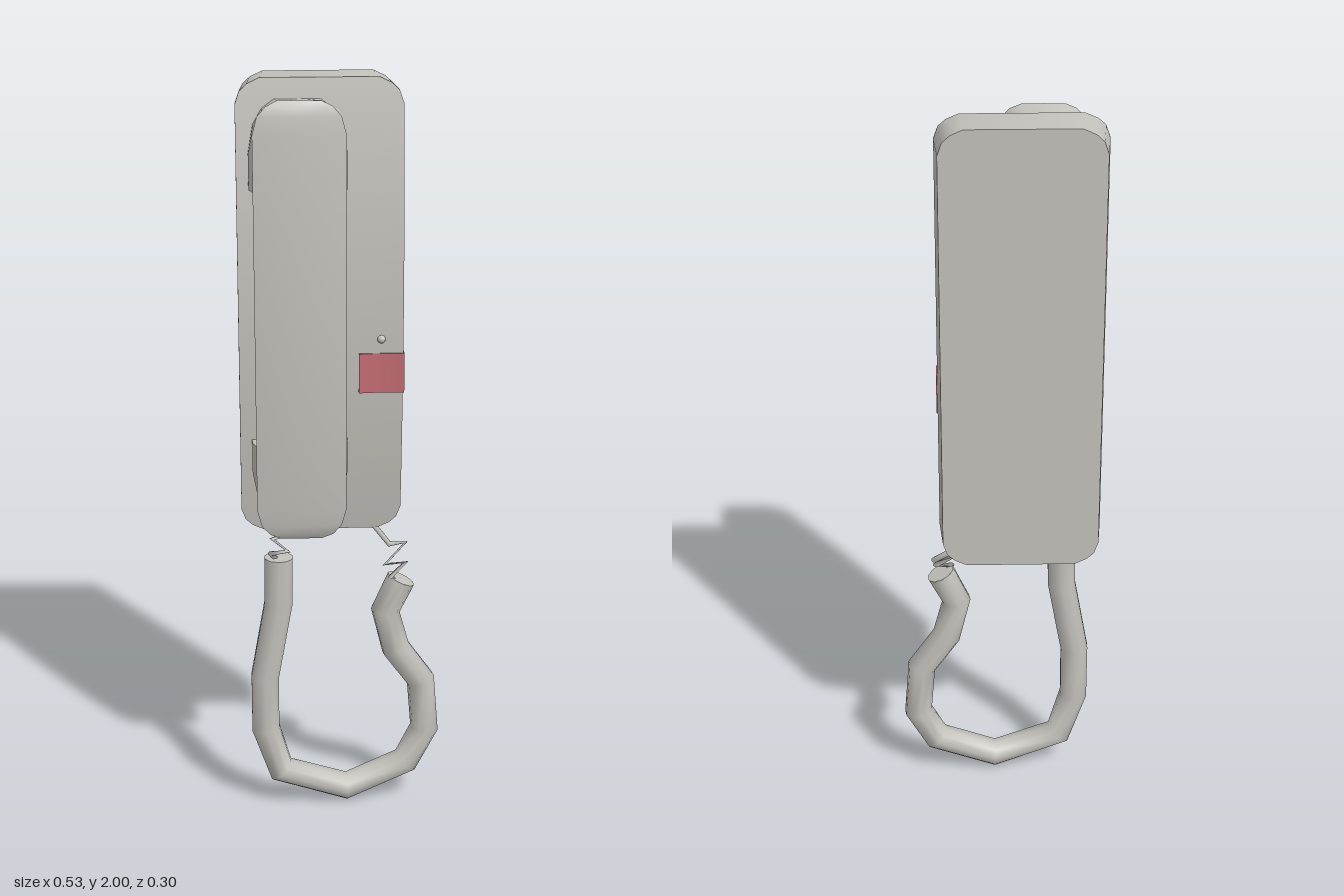
import * as THREE from 'three';
import { toCreasedNormals } from 'three/addons/utils/BufferGeometryUtils.js';

const MID = 1.395; // height of the middle of base and handset
const v3 = (p) => new THREE.Vector3(...p);

// Closed solid through rings of [x, y, z], stacked upwards, each counterclockwise from above
function loft(rings, crease = 0.6) {
  const n = rings[0].length;
  const index = [];
  for (let i = 0; i < rings.length - 1; i++) {
    for (let j = 0; j < n; j++) {
      const a = i * n + j, b = i * n + ((j + 1) % n);
      index.push(a, b, b + n, a, b + n, a + n);
    }
  }
  const top = (rings.length - 1) * n;
  for (let j = 1; j < n - 1; j++) {
    index.push(top, top + j, top + j + 1, 0, j + 1, j);
  }
  const geo = new THREE.BufferGeometry();
  geo.setAttribute('position', new THREE.Float32BufferAttribute(rings.flat(2), 3));
  geo.setIndex(index);
  return toCreasedNormals(geo, crease);
}

// Tube with one mitred ring at each path point
class Polyline extends THREE.Curve {
  constructor(points) {
    super();
    this.points = points.map(v3);
  }
  getPoint(t, target = new THREE.Vector3()) {
    const n = this.points.length - 1;
    const s = Math.min(Math.max(t, 0), 1) * n;
    const i = Math.min(Math.floor(s), n - 1);
    return target.lerpVectors(this.points[i], this.points[i + 1], s - i);
  }
  getPointAt(u, target) {
    return this.getPoint(u, target);
  }
  getTangentAt(u, target = new THREE.Vector3()) {
    const n = this.points.length - 1;
    const i = Math.round(u * n);
    const dir = (k) => this.points[k + 1].clone().sub(this.points[k]).normalize();
    return target.copy(dir(Math.max(i - 1, 0))).add(dir(Math.min(i, n - 1))).normalize();
  }
}

export function createModel() {
  const model = new THREE.Group();
  model.name = 'wallHandset';
  const grey = new THREE.MeshStandardMaterial({ color: 0xc4c2bc });
  grey.name = 'warmGrey';
  const red = new THREE.MeshStandardMaterial({ color: 0xc46c73 });
  red.name = 'dustyRed';

  const add = (name, geo, mat = grey) => {
    const mesh = new THREE.Mesh(geo, mat);
    mesh.name = name;
    model.add(mesh);
    return mesh;
  };

  // Wall base: bowed front, tapered sides, rounded corners
  const baseFront = (y) => 0.012 - 0.055 * ((y - MID) / 0.605) ** 2;
  const baseEnd = [[0.605, 0.062], [0.59, 0.03], [0.572, 0.011], [0.54, 0]]; // distance, inset
  const baseSteps = [
    ...baseEnd.map(([d, inset]) => [-d, inset]),
    ...[-0.42, -0.28, -0.14, 0, 0.14, 0.28, 0.42].map((d) => [d, 0]),
    ...baseEnd.map(([d, inset]) => [d, inset]).reverse(),
  ];
  add('base', loft(baseSteps.map(([d, s]) => {
    const y = MID + d, z = baseFront(y);
    return [
      [-0.27 + s, y, z], [0.155 - s, y, z], [0.155 - s, y, -0.046],
      [0.146 - s, y, -0.15], [-0.26 + s, y, -0.15], [-0.27 + s, y, -0.046],
    ];
  })));

  // Handset grip: ridged, bowed front; rows are distance, inset, ridge z, edge z
  const cx = -0.114;
  const gripEnd = [
    [0.573, 0.062, 0.106, 0.104], [0.56, 0.034, 0.116, 0.109],
    [0.535, 0.012, 0.122, 0.112], [0.49, 0, 0.127, 0.115],
    [0.3, 0, 0.14, 0.124], [0.15, 0, 0.146, 0.129],
  ];
  const gripSteps = [
    ...gripEnd.map(([d, ...r]) => [-d, ...r]),
    [0, 0, 0.148, 0.13],
    ...[...gripEnd].reverse(),
  ];
  add('handsetGrip', loft(gripSteps.map(([d, s, ridge, edge]) => {
    const y = MID + d, w = 0.116 - s, b = 0.108 - s;
    const yb = MID + d * 0.983;
    const back = 0.038 + 0.02 * d * d;
    return [
      [cx - w, y, edge], [cx, y, ridge], [cx + w, y, edge],
      [cx + b, yb, back], [cx - b, yb, back],
    ];
  })));

  // Earpiece and mouthpiece: blocks flaring towards the base
  const cupSteps = [[0.335, 0], [0.42, 0], [0.49, 0.012], [0.53, 0.035], [0.552, 0.065]];
  for (const [name, sign] of [['earpiece', 1], ['mouthpiece', -1]]) {
    const rings = cupSteps.map(([d, s]) => {
      const yb = MID + sign * d, yf = MID + sign * (d + (d > 0.4 ? 0.012 : 0));
      const w = 0.106 - s, b = 0.125 - s;
      const z = baseFront(yb) - 0.008;
      return [
        [cx - w, yf, 0.08], [cx + w, yf, 0.08],
        [cx + b, yb, z + 0.035], [cx + b, yb, z],
        [cx - b, yb, z], [cx - b, yb, z + 0.035],
      ];
    });
    add(name, loft(sign > 0 ? rings : rings.reverse()));
  }

  // Dished call button wrapping the base edge
  const profile = new THREE.Shape();
  profile.moveTo(0.04, 0.045);
  profile.lineTo(0.158, 0.045);
  profile.lineTo(0.158, -0.015);
  profile.quadraticCurveTo(0.1, -0.008, 0.04, -0.017);
  const buttonGeo = new THREE.ExtrudeGeometry(profile, {
    depth: 0.106, bevelEnabled: false, curveSegments: 6,
  });
  buttonGeo.rotateX(-Math.PI / 2); // shape y becomes -z, depth becomes height
  buttonGeo.translate(0, 1.189, 0);
  add('callButton', buttonGeo, red);

  // Indicator stud
  add('indicator', new THREE.SphereGeometry(0.011, 10, 8)).position.set(0.098, 1.333, 0.01);

  // Thick cord hanging in a loop, with closed ends
  const cordPath = [
    [-0.174, 0.742, 0.036], [-0.176, 0.61, 0.036], [-0.214, 0.395, 0.035],
    [-0.214, 0.238, 0.032], [-0.172, 0.105, 0.026], [0.008, 0.042, 0.015],
    [0.172, 0.111, 0.004], [0.224, 0.21, -0.001], [0.212, 0.358, 0.002],
    [0.142, 0.458, 0.008], [0.113, 0.572, 0.014], [0.155, 0.662, 0.012],
  ];
  const cordRadius = 0.039;
  add('cord', new THREE.TubeGeometry(new Polyline(cordPath), cordPath.length - 1, cordRadius, 10));
  for (const [end, next] of [[0, 1], [cordPath.length - 1, cordPath.length - 2]]) {
    const p = v3(cordPath[end]);
    const cap = add('cordEnd', new THREE.CircleGeometry(cordRadius, 10));
    cap.position.copy(p);
    cap.lookAt(p.clone().multiplyScalar(2).sub(v3(cordPath[next])));
  }

  // Thin kinked wires joining the cord to handset and base
  const wires = {
    handsetWire: [
      [-0.125, 0.84, 0.035], [-0.14, 0.808, 0.03], [-0.19, 0.785, 0.015],
      [-0.15, 0.768, 0.06], [-0.195, 0.756, 0.045], [-0.175, 0.73, 0.036],
    ],
    baseWire: [
      [0.075, 0.805, -0.06], [0.125, 0.75, -0.02], [0.172, 0.742, -0.05],
      [0.11, 0.712, 0.03], [0.168, 0.7, -0.01], [0.125, 0.675, 0.03], [0.155, 0.65, 0.012],
    ],
  };
  for (const [name, path] of Object.entries(wires)) {
    add(name, new THREE.TubeGeometry(new Polyline(path), path.length - 1, 0.008, 6));
  }

  return model;
}
